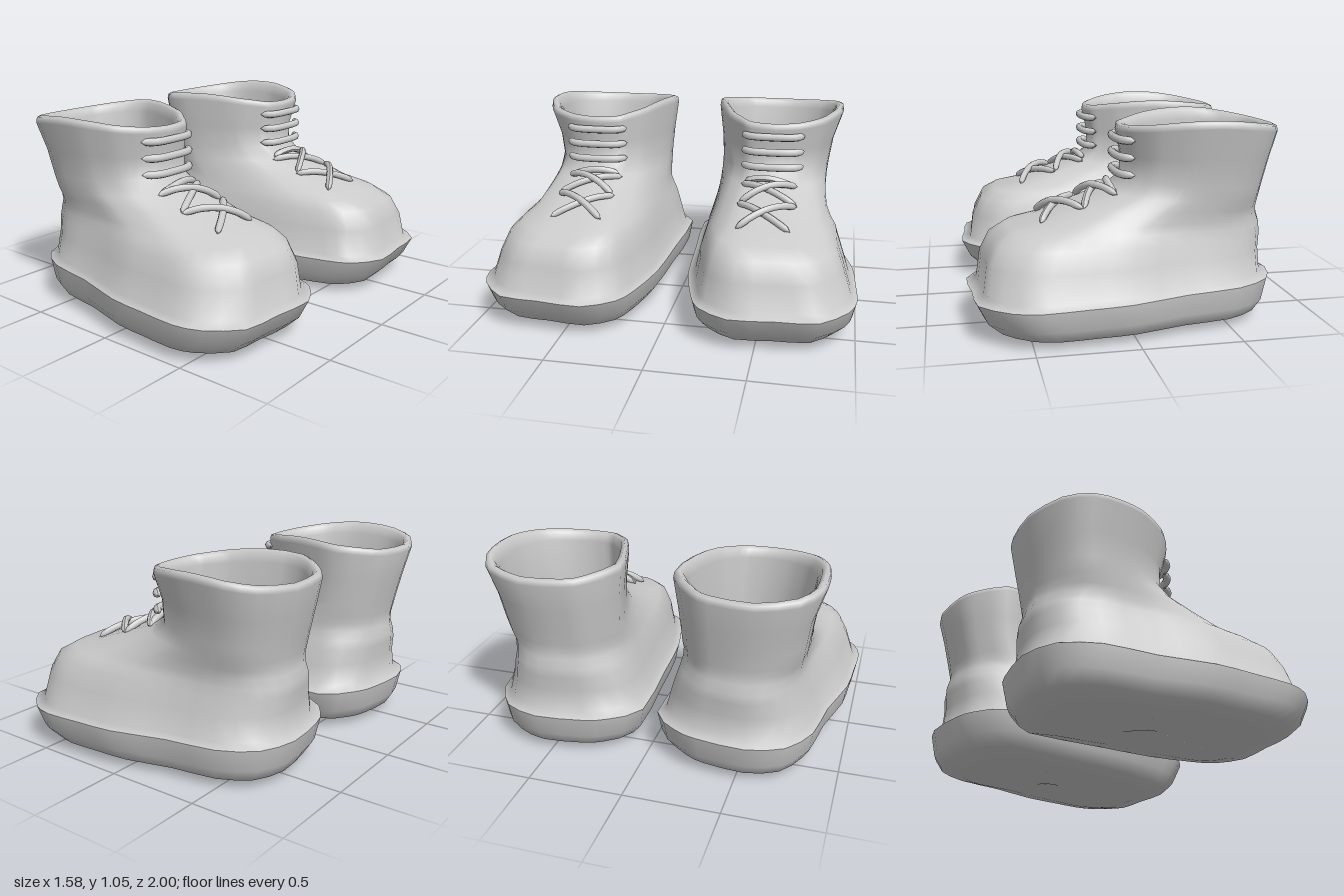
import * as THREE from 'three';

// plan outlines (x, z), starting at the toe and running round the outer side
const FOOT = [[.79, .37], [.77, .6], [.75, .81], [.6, .95], [.46, .99], [.25, .98], [.04, .965], [-.25, .89], [-.52, .85],
  [-.7, .74], [-.77, .55], [-.74, .3], [-.69, .18], [-.54, .04], [-.1, .06], [.28, .085], [.56, .15], [.69, .21]];
const COLLAR = [[.02, .42], [.03, .52], [0, .65], [-.07, .75], [-.13, .8], [-.22, .84], [-.3, .865], [-.42, .875], [-.58, .865],
  [-.71, .78], [-.79, .58], [-.77, .36], [-.72, .26], [-.56, .135], [-.35, .17], [-.15, .24], [-.06, .31], [0, .36]];
const N = FOOT.length * 2;

// smooth an outline and scale it to a unit square
function unitOutline(points) {
  const curve = new THREE.CatmullRomCurve3(points.map(([x, z]) => new THREE.Vector3(x, 0, z)), true, 'catmullrom', 0.4);
  const p = Array.from({ length: N }, (_, i) => curve.getPoint(i / N));
  const box = new THREE.Box3().setFromPoints(p);
  const size = box.getSize(new THREE.Vector3());
  return p.map(v => [(v.x - box.min.x) / size.x, (v.z - box.min.z) / size.z]);
}

// skin rings: [heel x, toe x, inner z, outer z, heel y, toe y, blend foot to collar, rise at the middle]
function loft(rows) {
  const foot = unitOutline(FOOT), collar = unitOutline(COLLAR);
  const pos = [], index = [];
  rows.forEach(([x0, x1, z0, z1, y0, y1, m = 0, rise = 0], r) => {
    for (let i = 0; i < N; i++) {
      const u = THREE.MathUtils.lerp(foot[i][0], collar[i][0], m);
      const w = THREE.MathUtils.lerp(foot[i][1], collar[i][1], m);
      pos.push(x0 + (x1 - x0) * u, y0 + (y1 - y0) * u + rise * Math.sin(Math.PI * u), z0 + (z1 - z0) * w);
      if (r === 0) continue;
      const j = (i + 1) % N, a = (r - 1) * N, b = r * N;
      index.push(a + i, b + i, a + j, a + j, b + i, b + j);
    }
  });
  const g = new THREE.BufferGeometry();
  g.setAttribute('position', new THREE.Float32BufferAttribute(pos, 3));
  g.setIndex(index);
  g.computeVertexNormals();
  return g;
}

// rounded lace strand with closed ends
function lace(points, radius) {
  const path = new THREE.CatmullRomCurve3(points);
  const g = new THREE.TubeGeometry(path, 16, radius, 8, false);
  const p = g.attributes.position, c = new THREE.Vector3(), v = new THREE.Vector3();
  for (let i = 0; i <= 16; i++) {
    path.getPointAt(i / 16, c);
    const taper = i % 16 === 0 ? 0.02 : i === 1 || i === 15 ? 0.85 : 1;
    for (let k = 0; k < 9; k++) {
      const n = i * 9 + k;
      v.fromBufferAttribute(p, n).sub(c).multiplyScalar(taper).add(c);
      p.setXYZ(n, v.x, v.y, v.z);
    }
  }
  return g;
}

// mirror across z, keeping faces outward
function mirrored(geometry) {
  const g = geometry.clone().scale(1, 1, -1);
  const a = g.index.array;
  for (let i = 0; i < a.length; i += 3) [a[i], a[i + 1]] = [a[i + 1], a[i]];
  g.computeVertexNormals();
  return g;
}

export function createModel() {
  const material = new THREE.MeshStandardMaterial({ color: 0xcccccc, roughness: 0.8 });
  const parts = [];
  const edge = [-.775, .79, .04, 1, .225, .2];

  parts.push(['sole', loft([
    [-.02, -.02, .52, .52, .02, .02, 0, .01],
    [-.57, .52, .22, .82, .005, 0, 0, .018],
    [-.71, .67, .11, .93, .045, .035],
    [-.75, .74, .06, .98, .11, .1],
    edge])]);

  // foot, ankle, shaft, rolled collar and inside in one skin
  const upper = loft([
    edge,
    [-.725, .74, .08, .965, .25, .22],
    [-.72, .72, .11, .92, .36, .36],
    [-.73, .67, .135, .885, .44, .46, .06],
    [-.73, .59, .15, .85, .49, .51, .25],
    [-.715, .45, .16, .825, .54, .54, .5],
    [-.71, .25, .165, .81, .58, .615, .72],
    [-.715, .09, .165, .805, .62, .672, .88],
    [-.73, 0, .165, .805, .7, .735, 1],
    [-.76, 0, .155, .825, .83, .85, 1, .01],
    [-.79, .025, .135, .875, .965, .97, 1, .04],
    [-.785, .02, .14, .87, .99, .995, 1, .045],
    [-.765, 0, .16, .85, 1, 1.003, 1, .045],
    [-.745, -.025, .18, .83, .985, .99, 1, .042],
    [-.735, -.04, .19, .81, .95, .95, 1, .03],
    [-.69, -.045, .205, .77, .7, .72, 1],
    [-.68, -.05, .21, .77, .36, .36, 1],
    [-.62, -.1, .27, .71, .3, .3, 1],
    [-.37, -.37, .49, .49, .29, .29, 1]]);
  parts.push(['upper', upper]);

  // bars across the front of the shaft
  for (const y of [.935, .85, .765]) {
    const pts = [[-.035, .33], [.02, .38], [.034, .5], [.02, .62], [-.035, .675]];
    parts.push(['laceBar', lace(pts.map(([x, z]) => new THREE.Vector3(x, y, z)), .021)]);
  }

  // crossed strands laid over the instep
  const target = new THREE.Mesh(upper, material);
  const ray = new THREE.Raycaster();
  const down = new THREE.Vector3(0, -1, 0);
  const onInstep = (x, z, lift) => {
    ray.set(new THREE.Vector3(x, 2, z), down);
    const hit = ray.intersectObject(target)[0];
    return new THREE.Vector3(x, (hit ? hit.point.y : .69 - .36 * x) + lift, z);
  };
  const strands = [
    [.05, .34, .22, .66, .025], [.05, .65, .22, .35, .045],
    [.22, .34, .43, .64, .025], [.22, .66, .43, .36, .045],
    [.045, .36, .06, .64, .025]];
  for (const [xa, za, xb, zb, lift] of strands) {
    const pts = [0, .25, .5, .75, 1].map(t => onInstep(
      THREE.MathUtils.lerp(xa, xb, t) + .02 * Math.sin(Math.PI * t),
      THREE.MathUtils.lerp(za, zb, t), .004 + lift * Math.sin(Math.PI * t)));
    parts.push(['laceCross', lace(pts, .019)]);
  }

  const model = new THREE.Group();
  model.name = 'bootPair';
  for (const side of ['left', 'right']) {
    const boot = new THREE.Group();
    boot.name = side + 'Boot';
    for (const [name, g] of parts) {
      const mesh = new THREE.Mesh(side === 'left' ? g : mirrored(g), material);
      mesh.name = name;
      boot.add(mesh);
    }
    model.add(boot);
  }
  return model;
}
